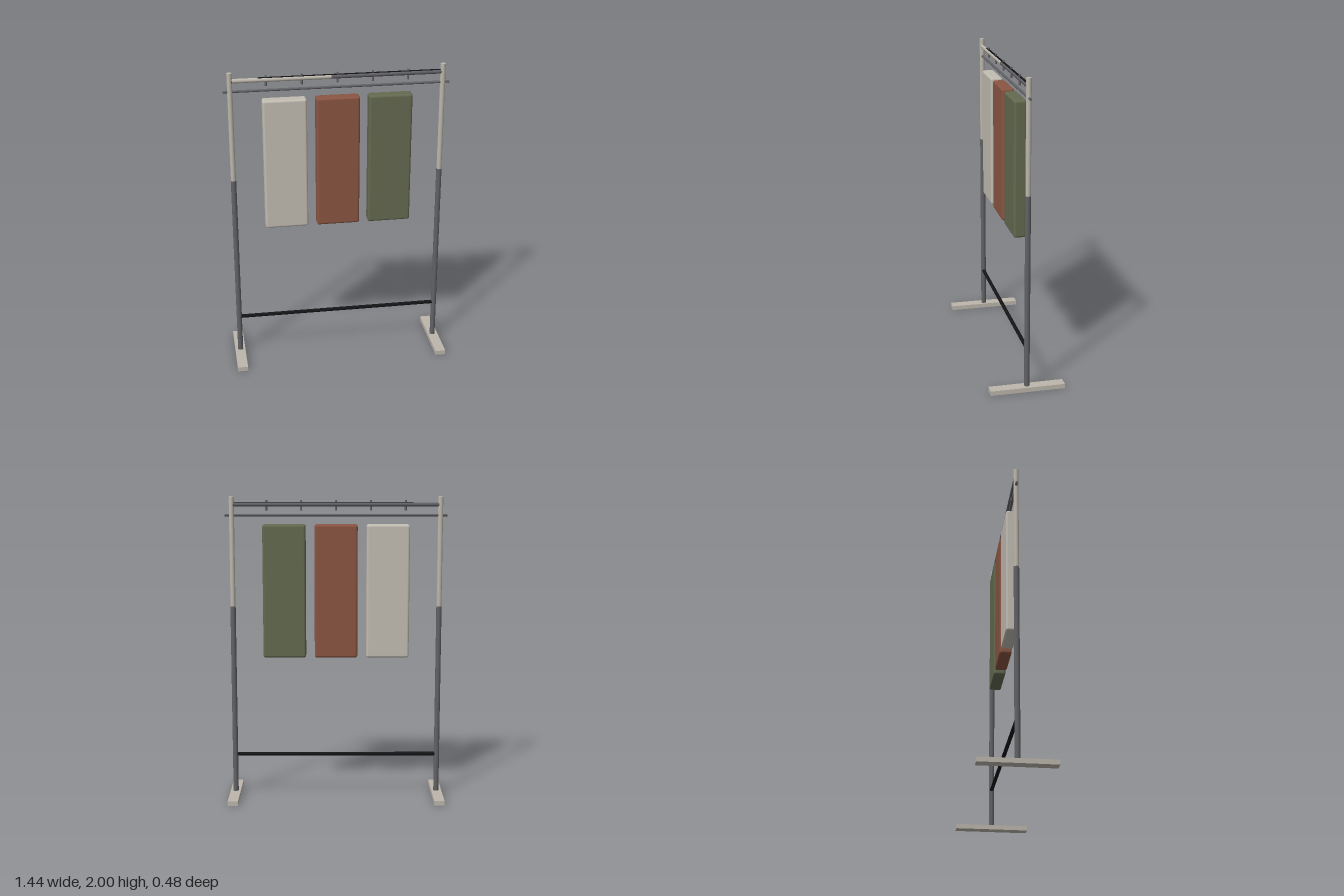
import * as THREE from 'three';
import { RoundedBoxGeometry } from 'three/addons/geometries/RoundedBoxGeometry.js';

const mat = (name, color, side = THREE.FrontSide) => {
  const m = new THREE.MeshStandardMaterial({ color, side });
  m.name = name;
  return m;
};

export function createModel() {
  const rack = new THREE.Group();
  rack.name = 'garmentRack';
  const pale = mat('paleMetal', 0xbcb6ac);
  const steel = mat('darkSteel', 0x626266);
  const black = mat('blackMetal', 0x141416);
  const cream = mat('creamCloth', 0xc2bcb2);
  const rust = mat('rustCloth', 0x8a5542);
  const olive = mat('oliveCloth', 0x646a50);

  const add = (name, geometry, material, x, y, z = 0) => {
    const mesh = new THREE.Mesh(geometry, material);
    mesh.name = name;
    mesh.position.set(x, y, z);
    rack.add(mesh);
    return mesh;
  };
  // Vertical rod between two heights
  const post = (name, r, x, y0, y1, m) =>
    add(name, new THREE.CylinderGeometry(r, r, y1 - y0, 20), m, x, (y0 + y1) / 2);
  // Horizontal rod between two x positions
  const rail = (name, r, x0, x1, y, m) => {
    const g = new THREE.CylinderGeometry(r, r, x1 - x0, 20).rotateZ(Math.PI / 2);
    return add(name, g, m, (x0 + x1) / 2, y);
  };

  // Feet and two-tone uprights
  for (const [side, s] of [['left', 1], ['right', -1]]) {
    add(side + 'Foot', new THREE.BoxGeometry(0.068, 0.03, 0.48), pale, s * 0.677, 0.015);
    post(side + 'LowerPost', 0.0175, s * 0.675, 0.002, 1.285, steel);
    post(side + 'UpperPost', 0.0165, s * 0.675, 1.285, 2, pale);
  }

  // Rails
  rail('topRail', 0.0135, -0.675, 0.675, 1.948, steel);
  rail('hangingRail', 0.008, -0.72, 0.72, 1.88, steel);
  rail('lowerBrace', 0.012, -0.675, 0.675, 0.285, black);

  // Pale front face on the right part of the top rail
  const shell = new THREE.CylinderGeometry(0.0142, 0.0142, 0.62, 16, 1, true, -Math.PI / 2, Math.PI);
  add('topRailFace', shell.rotateZ(Math.PI / 2), pale, -0.35, 1.948);
  // Dark strip along the crown of the top rail
  add('topRailCrown', new THREE.BoxGeometry(1.16, 0.003, 0.014), black, 0.08, 1.9615);

  // Hook pegs
  for (let i = -2; i <= 2; i++) post('hookPeg', 0.007, i * 0.225, 1.908, 1.975, steel);

  // Hanging garments
  [['cream', cream, -0.338], ['rust', rust, 0], ['olive', olive, 0.337]].forEach(([name, m, x]) =>
    add(name + 'Garment', new RoundedBoxGeometry(0.28, 0.872, 0.08, 3, 0.015), m, x, 1.384));

  return rack;
}
